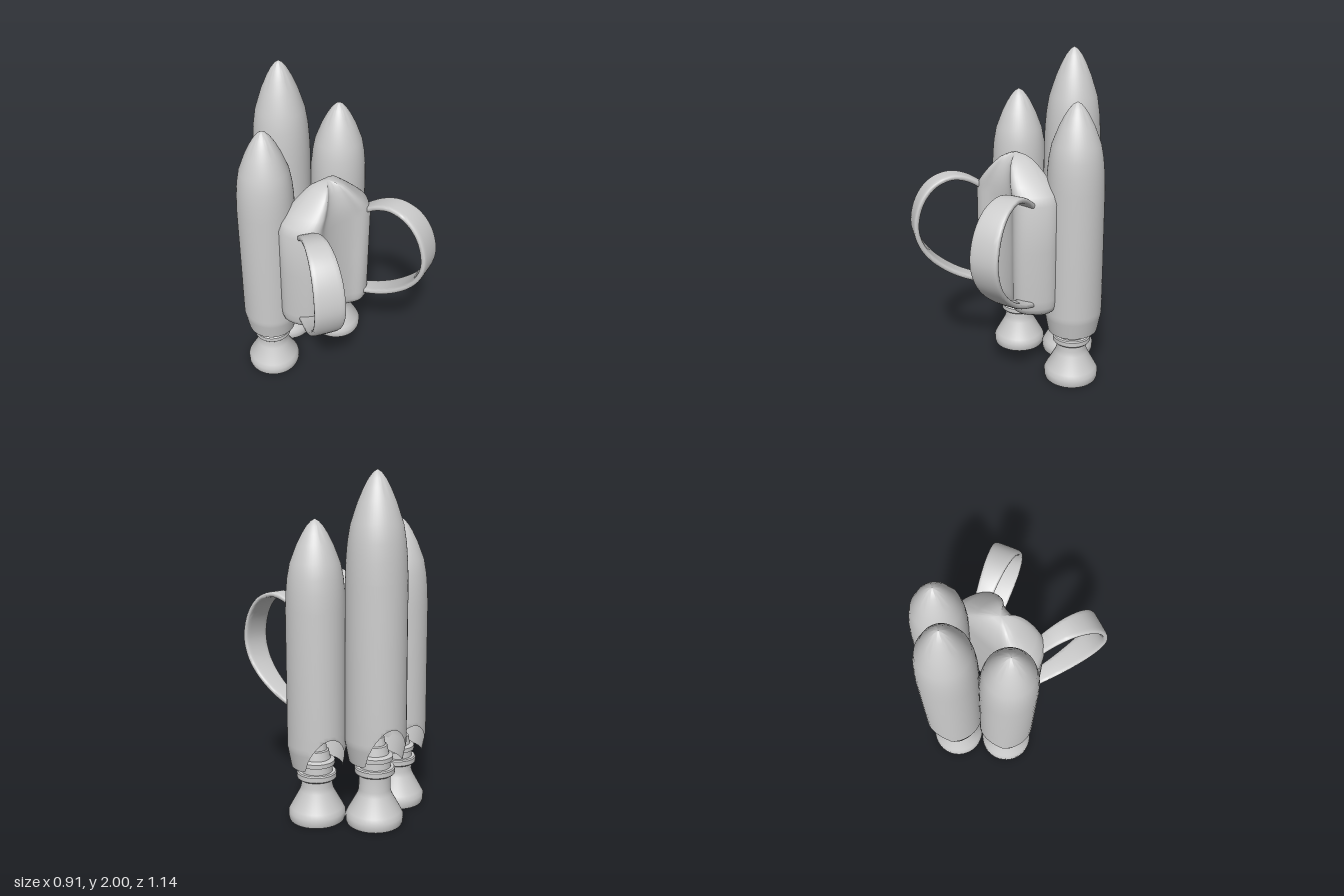
import * as THREE from 'three';
import { toCreasedNormals } from 'three/addons/utils/BufferGeometryUtils.js';

const material = new THREE.MeshStandardMaterial({ color: 0xcccccc, side: THREE.DoubleSide });

function part(name, geometry) {
  const mesh = new THREE.Mesh(geometry, material);
  mesh.name = name;
  return mesh;
}

// Skin over a stack of equal-length rings of Vector3, with optional fan caps.
function loft(rings, capped) {
  const n = rings[0].length;
  const all = [...rings];
  if (capped) {
    const middle = (ring) => {
      const c = new THREE.Vector3();
      ring.forEach((p) => c.addScaledVector(p, 1 / n));
      return ring.map(() => c);
    };
    all.unshift(middle(rings[0]));
    all.push(middle(rings[rings.length - 1]));
  }
  const index = [];
  for (let i = 0; i < all.length - 1; i++) {
    for (let j = 0; j < n; j++) {
      const a = i * n + j, b = i * n + (j + 1) % n;
      index.push(a, b, b + n, a, b + n, a + n);
    }
  }
  const geo = new THREE.BufferGeometry().setFromPoints(all.flat());
  geo.setIndex(index);
  return toCreasedNormals(geo, 0.9);
}

// Open-bottomed tank with a pointed nose and an arched cut-out at the back.
function tank({ bottom, top, radius, rise, noseStretch }) {
  const nose = [[0.5, 1], [0.4, 0.975], [0.32, 0.93], [0.24, 0.84], [0.14, 0.61],
    [0.08, 0.43], [0.04, 0.28], [0.012, 0.13], [0, 0]];
  const radiusAt = (y) => radius * Math.min(1, 0.87 + 1.1 * (y - bottom));
  const profile = [];
  for (let i = 0; i <= 16; i++) {
    const y = bottom + i * 0.02;
    profile.push(new THREE.Vector2(radiusAt(y), y));
  }
  nose.forEach(([d, r]) => profile.push(new THREE.Vector2(radius * r, top - d * noseStretch)));
  const geo = new THREE.LatheGeometry(profile, 48);
  const pos = geo.attributes.position;
  for (let i = 0; i < pos.count; i++) {
    let x = pos.getX(i), y = pos.getY(i), z = pos.getZ(i);
    const r = Math.hypot(x, z);
    if (r < 1e-5) continue;
    const back = Math.max(0, -z / r);
    const cut = bottom + rise * Math.pow(Math.max(0, (back - 0.6) / 0.4), 0.8);
    if (y < cut) {
      y = cut;
      x *= radiusAt(y) / r;
      z *= radiusAt(y) / r;
    }
    // The back flares slightly towards the cut-out
    z -= 0.018 * back * THREE.MathUtils.clamp(1 - (y - bottom - rise) / 0.9, 0, 1);
    pos.setXYZ(i, x, y, z);
  }
  return toCreasedNormals(geo, 0.6);
}

// Bell, neck, collar and the stepped feed cone inside the tank.
function nozzle(bottom) {
  const k = bottom - 0.33;
  const points = [
    [0, 0.05], [0.135, 0.05], [0.148, 0], [0.163, 0], [0.168, 0.015], [0.168, 0.05], [0.155, 0.075],
    [0.1, 0.175], [0.092, 0.205], [0.092, 0.25 + k], [0.11, 0.25 + k], [0.116, 0.257 + k],
    [0.116, 0.285 + k], [0.11, 0.292 + k], [0.092, 0.292 + k], [0.09, 0.33 + k],
    [0.105, 0.335 + k], [0.105, 0.36 + k], [0.08, 0.37 + k], [0.07, 0.42 + k], [0.06, 0.425 + k],
    [0.052, 0.47 + k], [0.042, 0.475 + k], [0.03, 0.53 + k], [0, 0.54 + k],
  ].map(([r, y]) => new THREE.Vector2(r, y));
  return toCreasedNormals(new THREE.LatheGeometry(points, 40), 0.6);
}

function rocket(name, x, z, spec) {
  const group = new THREE.Group();
  group.name = name;
  group.add(part('tank', tank(spec)), part('nozzle', nozzle(spec.bottom)));
  group.position.set(x, 0, z);
  return group;
}

// Kidney-shaped pack with a domed top.
function pack() {
  const half = [[0.1, 0.148], [0.17, 0.178], [0.225, 0.165], [0.285, 0.09], [0.31, 0],
    [0.285, -0.06], [0.22, -0.078], [0.1, -0.08]];
  const outline = [[0, 0.135], ...half, [0, -0.08], ...half.map(([x, z]) => [-x, z]).reverse()];
  const curve = new THREE.CatmullRomCurve3(
    outline.map(([x, z]) => new THREE.Vector3(x, 0, z)), true, 'centripetal');
  const loop = curve.getPoints(72).slice(0, -1);
  // y, width scale, depth scale
  const rows = [[0.488, 0.8, 0.5], [0.493, 0.9, 0.72], [0.51, 0.96, 0.87], [0.54, 0.99, 0.96],
    [0.59, 1, 1], [0.9, 1, 1], [1.18, 1, 1], [1.23, 0.93, 0.98], [1.28, 0.76, 0.92],
    [1.33, 0.58, 0.8], [1.37, 0.43, 0.66], [1.4, 0.31, 0.5], [1.42, 0.18, 0.3], [1.43, 0.05, 0.08]];
  const cz = 0.035;
  return loft(rows.map(([y, sx, sz]) =>
    loop.map((p) => new THREE.Vector3(p.x * sx, y, cz + (p.z - cz) * sz))), true);
}

// Flat band bowed forwards and outwards, widest at its front.
function strap(side) {
  const path = [[0.08, 1.15], [0.14, 1.2], [0.22, 1.25], [0.31, 1.268], [0.41, 1.228], [0.485, 1.13],
    [0.52, 0.98], [0.495, 0.86], [0.43, 0.76], [0.32, 0.665], [0.22, 0.61], [0.14, 0.58], [0.08, 0.56]];
  const curve = new THREE.CatmullRomCurve3(path.map(([z, y]) =>
    new THREE.Vector3(side * (0.23 + 0.376 * (z - 0.14)), y, z)));
  const across = new THREE.Vector3(side * 0.936, 0, -0.352);
  const rings = [];
  for (let i = 0; i <= 64; i++) {
    const p = curve.getPoint(i / 64);
    const normal = curve.getTangent(i / 64).cross(across).normalize();
    const w = 0.05 + 0.038 * THREE.MathUtils.clamp((p.z - 0.14) / 0.38, 0, 1);
    const ring = [];
    for (let j = 0; j < 20; j++) {
      const a = (j / 20) * Math.PI * 2, c = Math.cos(a), s = Math.sin(a);
      ring.push(p.clone()
        .addScaledVector(across, w * Math.sign(c) * Math.pow(Math.abs(c), 0.4))
        .addScaledVector(normal, 0.017 * Math.sign(s) * Math.pow(Math.abs(s), 0.5)));
    }
    rings.push(ring);
  }
  return loft(rings, true);
}

export function createModel() {
  const model = new THREE.Group();
  model.name = 'jetPack';
  model.add(part('pack', pack()));
  model.add(rocket('centreRocket', 0, -0.39,
    { bottom: 0.38, top: 2, radius: 0.173, rise: 0.23, noseStretch: 1.2 }));
  for (const [label, side] of [['left', 1], ['right', -1]]) {
    model.add(rocket(label + 'Rocket', side * 0.273, -0.187,
      { bottom: 0.33, top: 1.74, radius: 0.169, rise: 0.2, noseStretch: 1 }));
    model.add(part(label + 'Strap', strap(side)));
  }
  return model;
}
